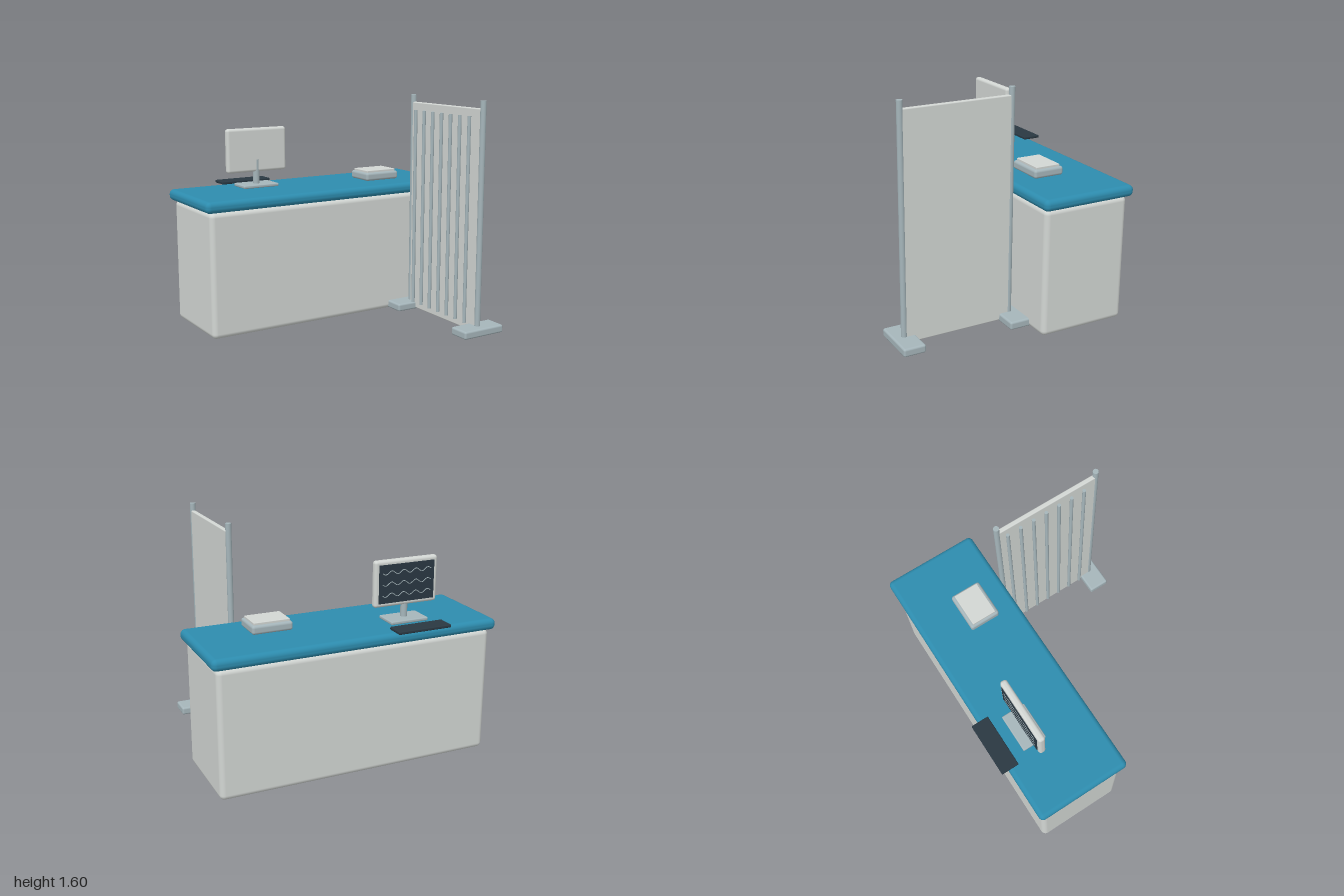
import * as THREE from 'three';
import { RoundedBoxGeometry } from 'three/addons/geometries/RoundedBoxGeometry.js';

function material(name, color) {
  const m = new THREE.MeshStandardMaterial({ color });
  m.name = name;
  return m;
}

export function createModel() {
  const group = new THREE.Group();
  const shell = material('pale grey', 0xd2d6d3);
  const teal = material('teal', 0x2d8cae);
  const metal = material('blue grey metal', 0xa5b5ba);
  const dark = material('dark slate', 0x2a3842);

  function add(name, geometry, mat, parent = group) {
    const mesh = new THREE.Mesh(geometry, mat);
    mesh.name = name;
    parent.add(mesh);
    return mesh;
  }
  // Rounded box given by its limits on each axis
  function box(name, [x0, x1], [y0, y1], [z0, z1], radius, mat, parent) {
    const mesh = add(name, new RoundedBoxGeometry(x1 - x0, y1 - y0, z1 - z0, 4, radius), mat, parent);
    mesh.position.set((x0 + x1) / 2, (y0 + y1) / 2, (z0 + z1) / 2);
    return mesh;
  }
  // Upright cylinder
  function rod(name, x, z, y0, y1, radius, mat, parent) {
    const mesh = add(name, new THREE.CylinderGeometry(radius, radius, y1 - y0, 20), mat, parent);
    mesh.position.set(x, (y0 + y1) / 2, z);
    return mesh;
  }
  function part(name) {
    const g = new THREE.Group();
    g.name = name;
    group.add(g);
    return g;
  }

  // Desk
  const desk = part('desk');
  box('deskBody', [-0.965, 0.965], [0.003, 0.875], [-0.73, -0.105], 0.035, shell, desk);
  box('deskTop', [-1, 1], [0.875, 0.953], [-0.76, -0.08], 0.034, teal, desk);

  // Monitor, its screen facing the back
  const monitor = part('monitor');
  box('monitorBase', [-0.555, -0.28], [0.957, 0.98], [-0.61, -0.435], 0.008, metal, monitor);
  rod('monitorPole', -0.42, -0.517, 0.945, 1.155, 0.0235, metal, monitor);
  box('monitorCase', [-0.653, -0.185], [1.065, 1.38], [-0.545, -0.495], 0.02, shell, monitor);
  const screen = add('screen', new THREE.BoxGeometry(0.41, 0.26, 0.006), dark, monitor);
  screen.position.set(-0.419, 1.222, -0.546);

  // Wavy traces on the screen
  for (let row = 0; row < 3; row++) {
    const points = [];
    for (let i = 0; i <= 48; i++) {
      const t = i / 48;
      points.push(new THREE.Vector3(-0.599 + 0.36 * t, 1.147 + row * 0.075 + 0.012 * Math.sin(t * Math.PI * 8), -0.549));
    }
    const curve = new THREE.CatmullRomCurve3(points);
    add('screenTrace', new THREE.TubeGeometry(curve, 72, 0.0028, 6), metal, monitor);
  }

  // Keyboard, overhanging the back edge
  box('keyboard', [-0.61, -0.225], [0.96, 0.98], [-0.812, -0.685], 0.006, dark);

  // Desktop device with a raised lid
  const device = part('deskDevice');
  box('deviceBody', [0.35, 0.63], [0.965, 1.025], [-0.453, -0.232], 0.018, metal, device);
  box('deviceLid', [0.365, 0.613], [1.02, 1.04], [-0.432, -0.253], 0.004, shell, device);

  // Divider: panel, two posts on feet, and a row of bars on its left-hand face
  const divider = part('divider');
  box('dividerPanel', [0.614, 0.646], [0.02, 1.555], [-0.04, 0.73], 0.008, shell, divider);
  for (const z of [-0.043, 0.728]) {
    rod('dividerPost', 0.63, z, 0.04, 1.607, 0.02, metal, divider);
    box('dividerFoot', [0.464, 0.798], [0.01, 0.066], [z - 0.077, z + 0.077], 0.014, metal, divider);
  }
  for (let i = 0; i < 7; i++) {
    rod('dividerBar', 0.601, 0.022 + i * 0.1, 0.066, 1.5, 0.0125, metal, divider);
  }

  return group;
}
